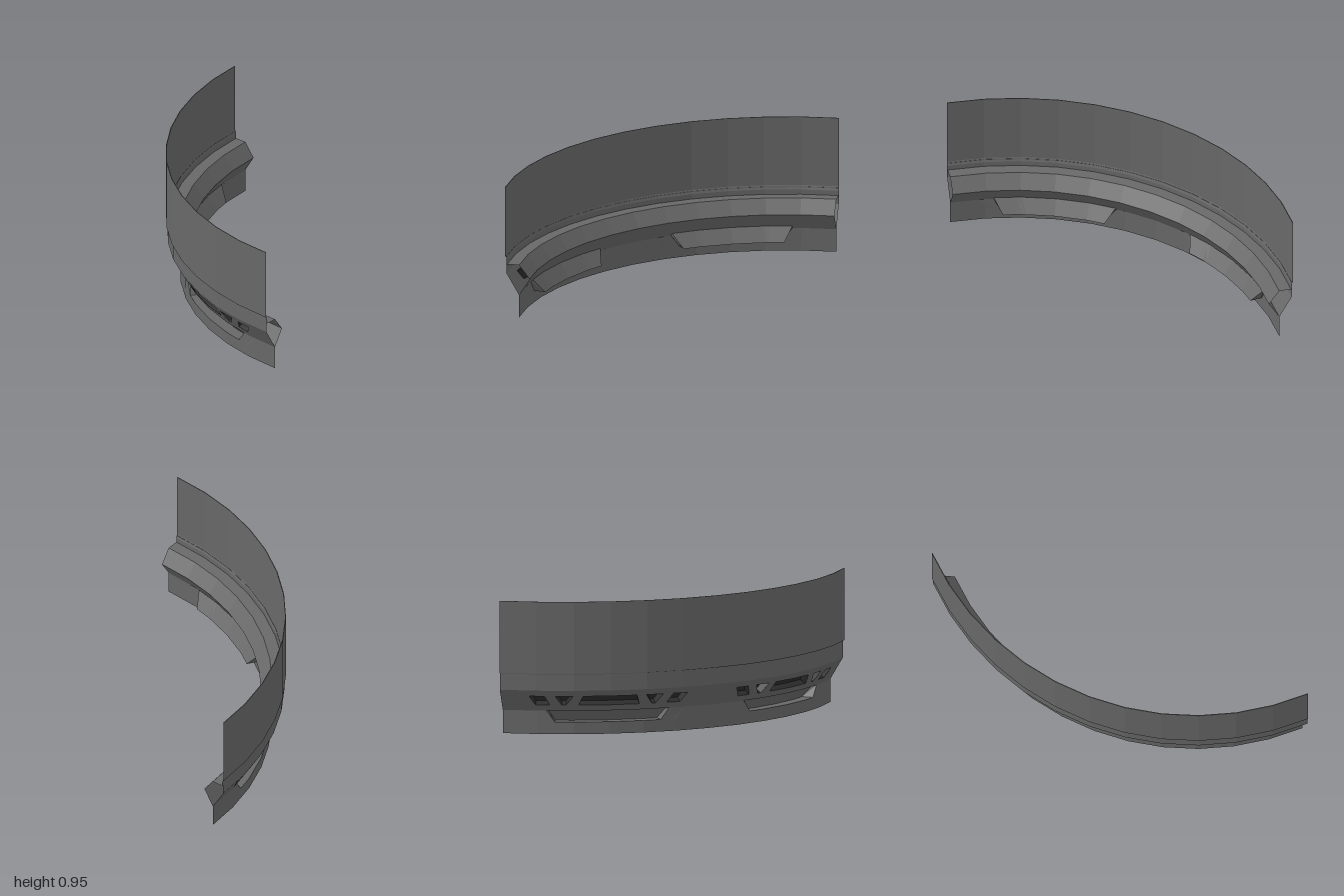
import * as THREE from 'three';

const RAD = Math.PI / 180;
const FACET = 7.5; // the quarter ring has twelve straight facets

// Ring coordinates: angle in degrees from the middle of the arc, radius, height.
function ringPoint([angle, radius, y]) {
  const local = ((angle + 45) % FACET) - FACET / 2;
  const r = radius * Math.cos((FACET / 2) * RAD) / Math.cos(local * RAD);
  const a = (angle + 45) * RAD;
  return [1 - r * Math.sin(a), y, 1 - r * Math.cos(a)];
}

const mix = (p, q, t) => p.map((v, i) => v + (q[i] - v) * t);

// Bent quad between four ring corners, cut finely enough to follow the facets.
function patch(out, lowA, lowB, highB, highA) {
  const width = Math.max(Math.abs(lowB[0] - lowA[0]), Math.abs(highB[0] - highA[0]));
  const n = Math.max(1, Math.ceil(width / 1.25 - 1e-6));
  for (let i = 0; i < n; i++) {
    const a = ringPoint(mix(lowA, lowB, i / n));
    const b = ringPoint(mix(lowA, lowB, (i + 1) / n));
    const c = ringPoint(mix(highA, highB, (i + 1) / n));
    const d = ringPoint(mix(highA, highB, i / n));
    out.push(...a, ...b, ...c, ...a, ...c, ...d);
  }
}

// Full-width strips along a profile of [radius, y] points.
function strips(out, profile) {
  for (let i = 0; i + 1 < profile.length; i++) {
    const [p, q] = [profile[i], profile[i + 1]];
    patch(out, [-45, ...p], [45, ...p], [45, ...q], [-45, ...q]);
  }
}

// Strip with openings; each opening is [lowLeft, lowRight, highLeft, highRight] in degrees.
function piercedStrip(out, openings, low, high) {
  let left = [-45, -45];
  for (const [ll, lr, hl, hr] of [...openings, [45, 45, 45, 45]]) {
    patch(out, [left[0], ...low], [ll, ...low], [hl, ...high], [left[1], ...high]);
    left = [lr, hr];
  }
}

function addMesh(group, name, positions, material) {
  const g = new THREE.BufferGeometry();
  g.setAttribute('position', new THREE.Float32BufferAttribute(positions, 3));
  g.computeVertexNormals();
  const mesh = new THREE.Mesh(g, material);
  mesh.name = name;
  group.add(mesh);
}

export function createModel() {
  const group = new THREE.Group();
  group.name = 'curvedWall';
  const opts = { flatShading: true, side: THREE.DoubleSide };
  const grey = new THREE.MeshStandardMaterial({ color: 0x686868, ...opts });
  grey.name = 'grey';
  const dark = new THREE.MeshStandardMaterial({ color: 0x2c2c2c, ...opts });
  dark.name = 'darkGrey';

  // Tall upper wall
  const wall = [];
  strips(wall, [[2, 0.44], [2, 0.95], [1.995, 0.95], [1.995, 0.45]]);
  addMesh(group, 'upperWall', wall, grey);

  // Inner beam: bevel, ledge, sloped face and underside
  const beam = [];
  strips(beam, [[1.995, 0.45], [1.985, 0.42], [1.985, 0.385], [1.9, 0.385], [1.825, 0.285], [1.9, 0.165]]);
  addMesh(group, 'innerBeam', beam, grey);

  // Two bays, each with five slots above and one pocket below
  const bays = [-22.5, 22.5];
  const bayOf = [
    [-15.4, -12.4, -16.6, -13.5],
    [-9.9, -9.1, -11.3, -7.6],
    [-6.4, 6.4, -5.6, 5.6],
    [9.1, 9.9, 7.6, 11.3],
    [12.4, 15.4, 13.5, 16.6],
  ];
  const slots = bays.flatMap((c) => bayOf.map((s) => s.map((v) => v + c)));

  // Outer slanted band, pierced by the slots
  const slant = (t) => [1.9 + 0.09 * t, 0.165 + 0.155 * t];
  const slotLow = slant(0.28), slotHigh = slant(0.72);
  const band = [];
  strips(band, [slant(0), slotLow]);
  piercedStrip(band, slots, slotLow, slotHigh);
  strips(band, [slotHigh, slant(1), [1.99, 0.44], [2, 0.44]]);
  addMesh(group, 'outerBand', band, grey);

  // Dark recess behind every slot
  const recess = [];
  const sunk = ([r, y]) => [r - 0.043, y + 0.025];
  for (const [ll, lr, hl, hr] of slots) {
    const rim = [[ll, ...slotLow], [lr, ...slotLow], [hr, ...slotHigh], [hl, ...slotHigh]];
    const back = rim.map(([a, r, y]) => [a, ...sunk([r, y])]);
    patch(recess, ...back);
    for (let i = 0; i < 4; i++) {
      const j = (i + 1) % 4;
      patch(recess, rim[i], rim[j], back[j], back[i]);
    }
  }
  addMesh(group, 'slotRecesses', recess, dark);

  // Lower panel with two openings
  const pocketHoles = bays.map((c) => [c - 11.4, c + 11.4, c - 13.2, c + 13.2]);
  const panel = [];
  strips(panel, [[1.9, 0], [1.9, 0.085]]);
  piercedStrip(panel, pocketHoles, [1.9, 0.085], [1.9, 0.165]);
  addMesh(group, 'lowerPanel', panel, grey);

  // Wedge-shaped pockets swelling inward under the beam
  const pockets = [];
  for (const [ll, lr, hl, hr] of pocketHoles) {
    const lowL = [ll, 1.815, 0.085], lowR = [lr, 1.815, 0.085];
    const topL = [hl, 1.885, 0.185], topR = [hr, 1.885, 0.185];
    const baseL = [ll, 1.9, 0.085], baseR = [lr, 1.9, 0.085];
    patch(pockets, lowL, lowR, topR, topL);
    patch(pockets, baseL, baseR, lowR, lowL);
    patch(pockets, baseL, lowL, topL, [hl, 1.9, 0.165]);
    patch(pockets, lowR, baseR, [hr, 1.9, 0.165], topR);
  }
  addMesh(group, 'pockets', pockets, grey);

  return group;
}
